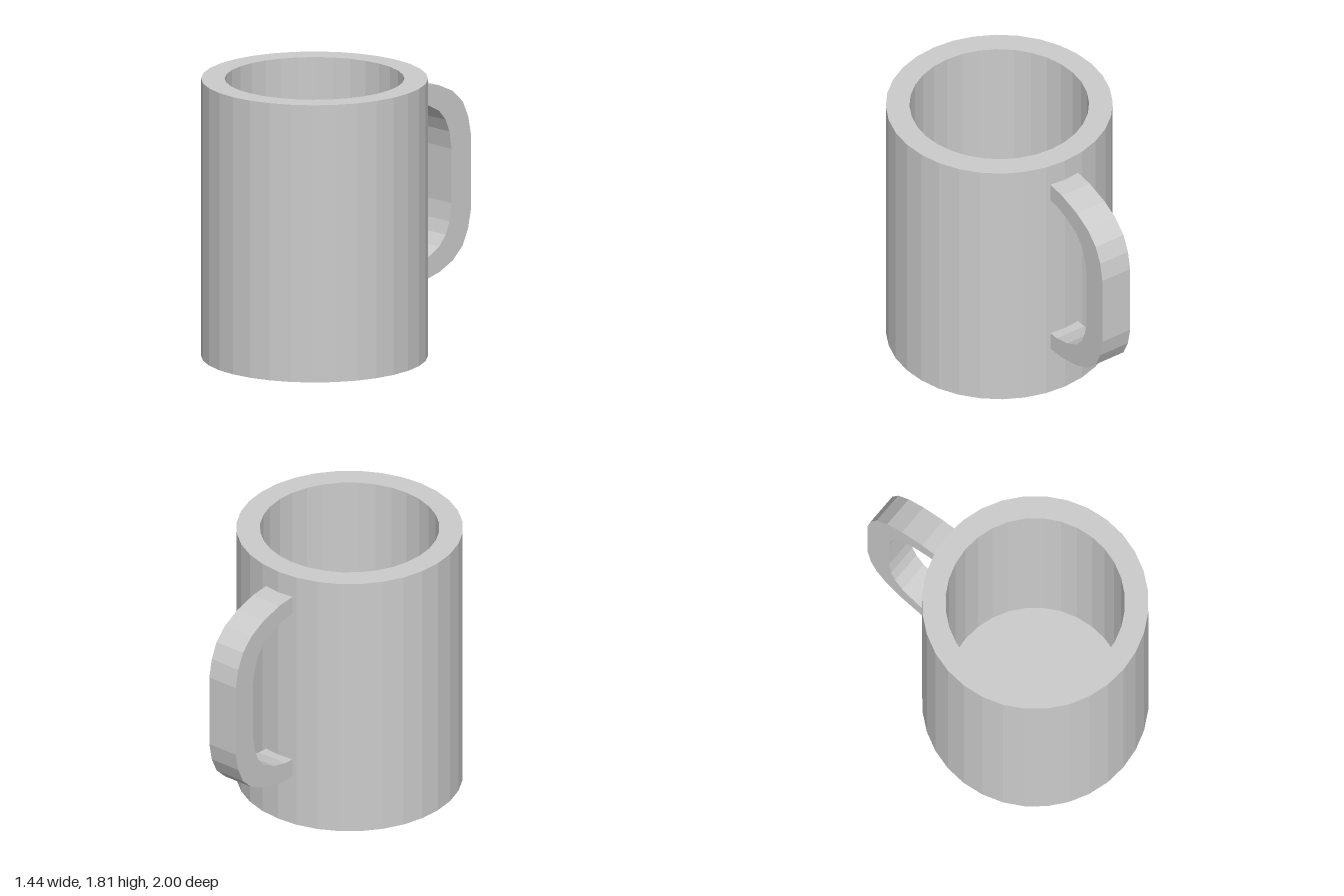
import * as THREE from 'three';

const HEIGHT = 1.81;
const OUTER_R = 0.72;
const INNER_R = 0.57;
const FLOOR = 0.15;
const HANDLE_MID = 1.003; // height the handle is mirrored about
const HANDLE_WIDTH = 0.216;

const vectors = (list) => list.map(([a, b]) => new THREE.Vector2(a, b));

// Completes an upper half-curve with its mirror image below
function mirrorDown(upper) {
  const lower = upper.map((p) => new THREE.Vector2(p.x, 2 * HANDLE_MID - p.y)).reverse();
  return [...upper, ...lower];
}

export function createModel() {
  const group = new THREE.Group();
  group.name = 'mug';
  const material = new THREE.MeshStandardMaterial({ color: 0xcccccc, flatShading: true });

  // Cup: thick wall, flat rim and closed base turned as one profile
  const profile = vectors([
    [0, 0], [OUTER_R, 0], [OUTER_R, HEIGHT], [INNER_R, HEIGHT], [INNER_R, FLOOR], [0, FLOOR],
  ]);
  const cup = new THREE.Mesh(new THREE.LatheGeometry(profile, 32), material);
  cup.name = 'cup';
  cup.position.z = 0.28;
  group.add(cup);

  // Handle: outer and inner curves, as (distance back, height)
  const outer = mirrorDown(vectors([
    [0.425, 1.66], [0.556, 1.653], [0.72, 1.613], [0.84, 1.556],
    [0.927, 1.473], [0.975, 1.37], [1, 1.247],
  ]));
  const inner = mirrorDown(vectors([
    [0.425, 1.537], [0.5, 1.533], [0.615, 1.502], [0.718, 1.447],
    [0.777, 1.378], [0.809, 1.297], [0.828, 1.18],
  ]));
  const shape = new THREE.Shape([...outer, ...inner.reverse()]);
  const handleGeometry = new THREE.ExtrudeGeometry(shape, { depth: HANDLE_WIDTH, bevelEnabled: false });
  handleGeometry.translate(0, 0, -HANDLE_WIDTH / 2);
  handleGeometry.rotateY(Math.PI / 2);
  const handle = new THREE.Mesh(handleGeometry, material);
  handle.name = 'handle';
  group.add(handle);

  return group;
}
